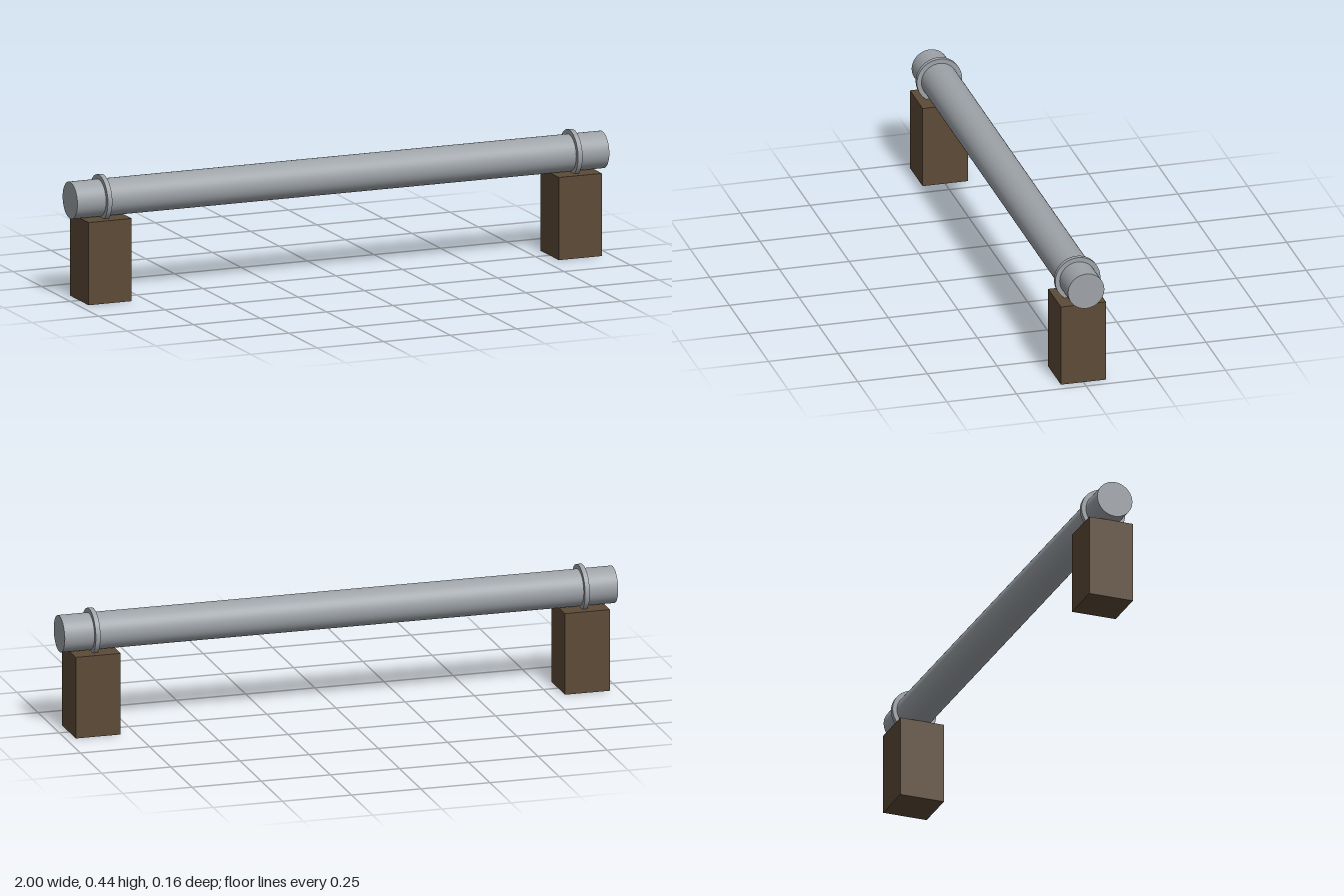
import * as THREE from 'three';

export function createModel() {
  const steel = new THREE.MeshStandardMaterial({ color: 0x9ea3a8 });
  steel.name = 'steel';
  const wood = new THREE.MeshStandardMaterial({ color: 0x5c4a37 });
  wood.name = 'wood';

  const model = new THREE.Group();
  model.name = 'pipeRail';
  const pipeRadius = 0.065, pipeY = 0.358, postHeight = 0.293, postX = 0.884;

  function add(geometry, material, name, x, y) {
    const mesh = new THREE.Mesh(geometry, material);
    mesh.name = name;
    mesh.position.set(x, y, 0);
    model.add(mesh);
  }

  // Horizontal pipe resting on the posts
  add(new THREE.CylinderGeometry(pipeRadius, pipeRadius, 2, 48).rotateZ(Math.PI / 2),
    steel, 'pipe', 0, pipeY);

  // Square post and flat clamp collar at each end
  for (const [side, s] of [['left', 1], ['right', -1]]) {
    add(new THREE.BoxGeometry(0.162, postHeight, 0.162), wood, side + 'Post', s * postX, postHeight / 2);
    add(new THREE.CylinderGeometry(0.081, 0.081, 0.017, 48).rotateZ(Math.PI / 2),
      steel, side + 'Collar', s * postX, pipeY);
  }
  return model;
}
